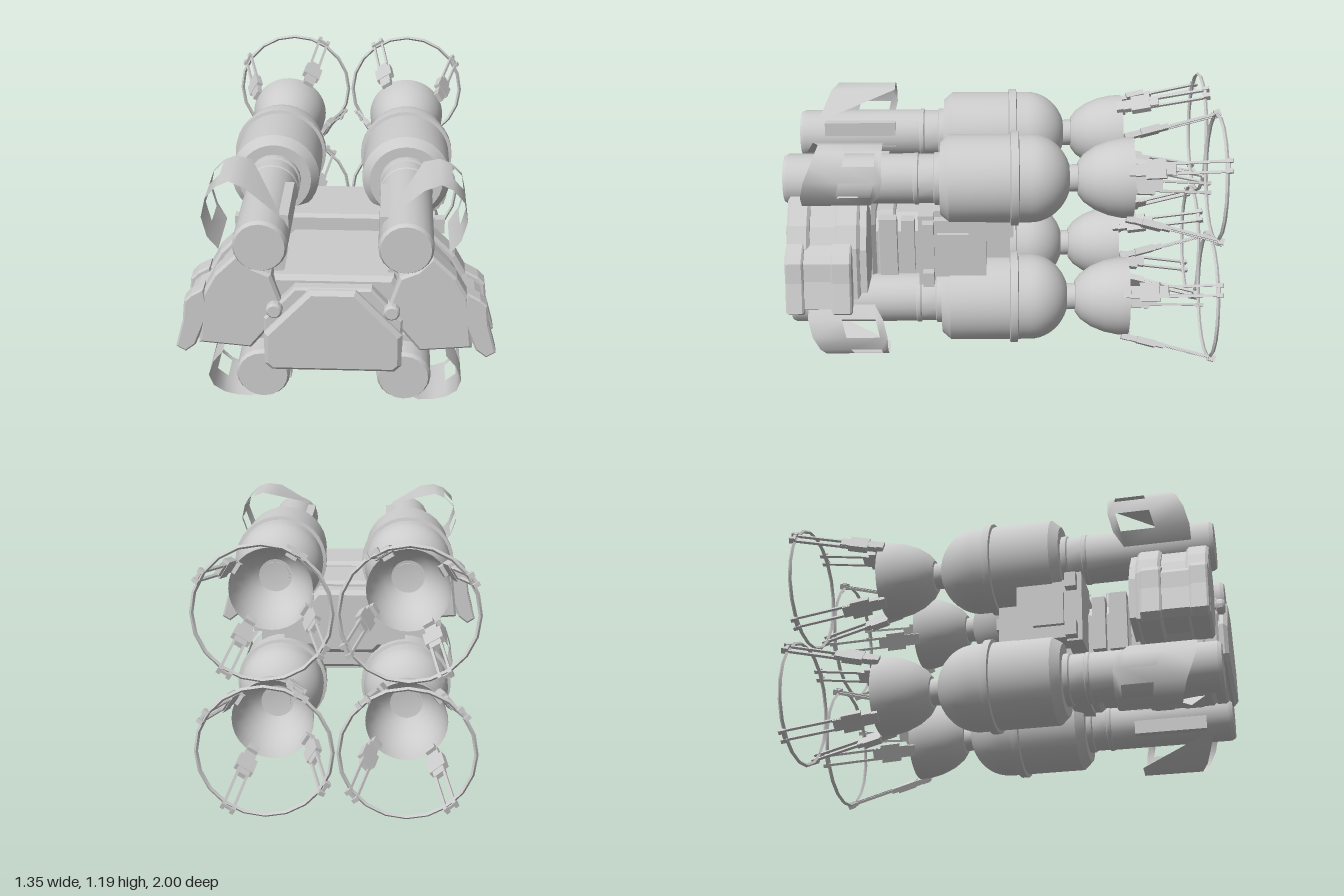
import * as THREE from 'three';
import { toCreasedNormals } from 'three/addons/utils/BufferGeometryUtils.js';

const mat = new THREE.MeshStandardMaterial({ color: 0xcccccc });
const thin = new THREE.MeshStandardMaterial({ color: 0xcccccc, side: THREE.DoubleSide });

function add(parent, name, geo, material = mat) {
  const m = new THREE.Mesh(geo, material);
  m.name = name;
  parent.add(m);
  return m;
}

function box(parent, name, w, h, d, x, y, z, rz = 0) {
  const m = add(parent, name, new THREE.BoxGeometry(w, h, d));
  m.position.set(x, y, z);
  m.rotation.z = rz;
  return m;
}

// Turned part around the z axis from [radius, z] points, rear to front
function turned(pts, sides = 32) {
  const g = new THREE.LatheGeometry(pts.map(p => new THREE.Vector2(...p)), sides);
  g.rotateX(Math.PI / 2);
  return toCreasedNormals(g, 0.5);
}

// Flat outline in x/y extruded from z0 to z1, optionally bevelled
function slab(parent, name, pts, z0, z1, bevel = 0, sx = 1) {
  const shape = new THREE.Shape(pts.map(([x, y]) => new THREE.Vector2(x * sx, y)));
  const g = new THREE.ExtrudeGeometry(shape, {
    depth: z1 - z0 - 2 * bevel, bevelEnabled: bevel > 0,
    bevelSize: bevel, bevelThickness: bevel, bevelOffset: -bevel, bevelSegments: 1,
  });
  g.translate(0, 0, z0 + bevel);
  return add(parent, name, g);
}

// Eight-cornered outline, symmetric in x
const octagon = (w, y0, y1, topW, shoulder, cut) => [
  [-w + cut, y0], [w - cut, y0], [w, y0 + cut], [w, shoulder],
  [topW, y1], [-topW, y1], [-w, shoulder], [-w, y0 + cut]];

// Bracket and twin rods reaching from the bell rim to the hoop
function strut(parent, angle) {
  const spoke = new THREE.Group();
  spoke.name = 'hoopStrut';
  spoke.rotation.z = THREE.MathUtils.degToRad(angle);
  const arm = new THREE.Group();
  arm.position.set(0.183, 0, -0.58);
  arm.rotation.y = -0.255;
  spoke.add(arm);
  parent.add(spoke);
  box(arm, 'rimClamp', 0.045, 0.05, 0.035, 0, 0, 0);
  box(arm, 'bracketNeck', 0.025, 0.055, 0.06, 0.008, 0, -0.04);
  box(arm, 'bracketPlate', 0.03, 0.085, 0.09, 0.008, 0, -0.1);
  box(arm, 'bracketTip', 0.022, 0.055, 0.05, 0.006, 0, -0.16);
  for (const s of [-1, 1]) {
    box(arm, 'rod', 0.012, 0.011, 0.3, 0.003, s * 0.023, -0.28);
    box(arm, 'rodEnd', 0.028, 0.018, 0.03, 0.006, s * 0.023, -0.415);
  }
  box(arm, 'endBridge', 0.014, 0.06, 0.014, 0.01, 0, -0.41);
}

// Curved cowl sheet: columns follow the section, rows run along z, with two slots
function cowl(parent, sx, sy) {
  // x, y, rear z, front z
  const section = [
    [-0.075, 0.1, 0.85, 0.88], [0.07, 0.2, 0.52, 0.83], [0.14, 0.215, 0.52, 0.8],
    [0.19, 0.195, 0.52, 0.81], [0.235, 0.15, 0.52, 0.83], [0.25, 0.08, 0.52, 0.86],
    [0.225, 0.0, 0.54, 0.88], [0.18, -0.055, 0.58, 0.88]];
  const rows = [0, 0.1, 0.55, 1];
  const pos = [], idx = [];
  for (const [x, y, zr, zf] of section)
    for (const t of rows) pos.push(x * sx, y * sy, zr + (zf - zr) * t);
  for (let i = 0; i < section.length - 1; i++)
    for (let j = 0; j < rows.length - 1; j++) {
      if (j === 1 && (i === 3 || i === 5)) continue;
      const a = i * rows.length + j, b = a + rows.length;
      if (sx * sy > 0) idx.push(a, a + 1, b, b, a + 1, b + 1);
      else idx.push(a, b, a + 1, b, b + 1, a + 1);
    }
  const g = new THREE.BufferGeometry();
  g.setAttribute('position', new THREE.Float32BufferAttribute(pos, 3));
  g.setIndex(idx);
  g.computeVertexNormals();
  add(parent, 'cowl', g, thin);
}

function engine(parent, sx, sy) {
  const e = new THREE.Group();
  e.name = (sy > 0 ? 'upper' : 'lower') + (sx > 0 ? 'Left' : 'Right') + 'Engine';
  e.position.set(sx * 0.298, sy > 0 ? 0.895 : 0.295, 0);
  parent.add(e);

  // Tank with domed rear, tapered front shoulder and neck
  const dome = [];
  for (let i = 0; i <= 9; i++) {
    const a = 0.32 + (Math.PI / 2 - 0.32) * i / 9;
    dome.push([0.2 * Math.sin(a), -0.13 - 0.185 * Math.cos(a)]);
  }
  add(e, 'tank', turned([[0.062, -0.35], [0.062, -0.305], ...dome,
    [0.2, 0.235], [0.165, 0.275], [0, 0.275]]));
  add(e, 'tankBand', turned([[0.195, -0.08], [0.215, -0.075], [0.215, -0.042], [0.195, -0.037]]));

  // Front barrel with collars
  add(e, 'barrel', turned([[0.12, 0.26], [0.12, 0.3], [0.112, 0.305], [0.112, 0.37], [0.118, 0.375],
    [0.118, 0.39], [0.114, 0.395], [0.114, 0.955], [0.104, 0.973], [0, 0.973]], 20));
  box(e, 'barrelRail', 0.05, 0.12, 0.34, -sx * 0.085, sy * 0.03, 0.68);

  // Open nozzle bell
  add(e, 'bell', turned([[0.184, -0.59], [0.181, -0.54], [0.168, -0.48], [0.143, -0.42],
    [0.108, -0.37], [0.075, -0.345], [0, -0.335]]), thin);
  const hoop = add(e, 'hoop', toCreasedNormals(new THREE.TorusGeometry(0.286, 0.009, 4, 20), 0.6));
  hoop.position.z = -0.972;
  const first = sx > 0 ? 32 : (sy > 0 ? 59 : 51);
  for (let k = 0; k < 4; k++) strut(e, first + 90 * k);

  cowl(e, sx, sy);
}

// Layered armour beside the front of the body
function sideArmour(parent, sx) {
  const g = new THREE.Group();
  g.name = sx > 0 ? 'leftArmour' : 'rightArmour';
  parent.add(g);
  const inner = [[0.4, 0.855], [0.5, 0.757], [0.55, 0.667], [0.575, 0.43], [0.355, 0.41],
    [0.21, 0.59], [0.265, 0.757], [0.34, 0.79]];
  const core = [[0.4, 0.83], [0.48, 0.74], [0.53, 0.65], [0.55, 0.45], [0.35, 0.43], [0.2, 0.59], [0.28, 0.74]];
  const outer = [[0.675, 0.41], [0.64, 0.54], [0.63, 0.63], [0.6, 0.66], [0.545, 0.69],
    [0.53, 0.57], [0.59, 0.42], [0.635, 0.385]];
  slab(g, 'armourCore', core, 0.6, 0.93, 0, sx);
  for (const [a, b] of [[0.85, 0.95], [0.63, 0.74]]) slab(g, 'armourRib', inner, a, b, 0.012, sx);
  for (const [a, b] of [[0.87, 0.95], [0.66, 0.75]]) slab(g, 'outerPlate', outer, a, b, 0.008, sx);
  slab(g, 'outerCore', outer.map(([x, y]) => [x * 0.97, 0.54 + (y - 0.54) * 0.9]), 0.7, 0.9, 0, sx);
  box(g, 'upperBrace', 0.16, 0.07, 0.2, sx * 0.3, 0.76, 0.76, sx * 0.6);
  box(g, 'lowerBrace', 0.2, 0.06, 0.24, sx * 0.33, 0.43, 0.74, sx * 0.6);
}

// Blocks on the rear flank between the tanks
function flank(parent, sx) {
  const g = new THREE.Group();
  g.name = sx > 0 ? 'leftFlank' : 'rightFlank';
  parent.add(g);
  box(g, 'flankBlock', 0.2, 0.28, 0.3, sx * 0.31, 0.595, 0.22);
  box(g, 'flankCap', 0.16, 0.05, 0.24, sx * 0.29, 0.74, 0.2);
  box(g, 'flankFrame', 0.2, 0.34, 0.07, sx * 0.33, 0.595, 0.34);
  box(g, 'flankFrame', 0.2, 0.34, 0.06, sx * 0.3, 0.595, 0.1);
  for (const y of [0.47, 0.71]) box(g, 'flankTab', 0.07, 0.07, 0.05, sx * 0.44, y, 0.33);
  box(g, 'flankPanel', 0.03, 0.16, 0.14, sx * 0.415, 0.595, 0.22);
  box(g, 'rearBlock', 0.14, 0.24, 0.14, sx * 0.22, 0.6, 0.03);
  box(g, 'rearNub', 0.05, 0.06, 0.04, sx * 0.25, 0.62, -0.035);
  box(g, 'midPanel', 0.06, 0.28, 0.08, sx * 0.29, 0.56, 0.52);
  box(g, 'midPanel', 0.06, 0.26, 0.06, sx * 0.28, 0.56, 0.43);
}

export function createModel() {
  const model = new THREE.Group();
  model.name = 'thrusterPack';
  const pack = new THREE.Group();
  pack.name = 'pack';
  pack.position.x = -0.008;
  model.add(pack);

  // Central body, rear to front
  slab(pack, 'bodyTail', octagon(0.2, 0.43, 0.74, 0.13, 0.66, 0.06), -0.03, 0.08, 0.02);
  slab(pack, 'bodyRear', octagon(0.29, 0.33, 0.765, 0.24, 0.7, 0.05), 0.06, 0.37, 0.015);
  slab(pack, 'bodyWaist', octagon(0.27, 0.35, 0.69, 0.2, 0.62, 0.05), 0.35, 0.6);
  slab(pack, 'bodyBand', octagon(0.285, 0.335, 0.715, 0.23, 0.64, 0.05), 0.49, 0.57, 0.01);
  slab(pack, 'bodyFront', octagon(0.29, 0.315, 0.735, 0.25, 0.66, 0.05), 0.58, 0.91, 0.02);
  slab(pack, 'bodyNose', octagon(0.29, 0.32, 0.705, 0.16, 0.56, 0.04), 0.9, 0.96, 0.01);
  slab(pack, 'frontPlate', octagon(0.288, 0.33, 0.71, 0.095, 0.505, 0.03), 0.95, 1, 0.018);
  for (const z of [0.15, 0.28, 0.66, 0.8]) box(pack, 'bellyPanel', 0.4, 0.03, 0.09, 0, 0.325, z);

  for (const s of [-1, 1]) {
    // Bolts beside the front plate
    const bolt = add(pack, 'frontBolt', turned([[0.026, 0.88], [0.026, 0.955], [0.035, 0.96],
      [0.035, 0.985], [0.026, 0.995], [0, 0.995]], 12));
    bolt.position.set(s * 0.243, 0.612, 0);
    sideArmour(model, s);
    flank(pack, s);
    engine(pack, s, 1);
    engine(pack, s, -1);
  }
  return model;
}
